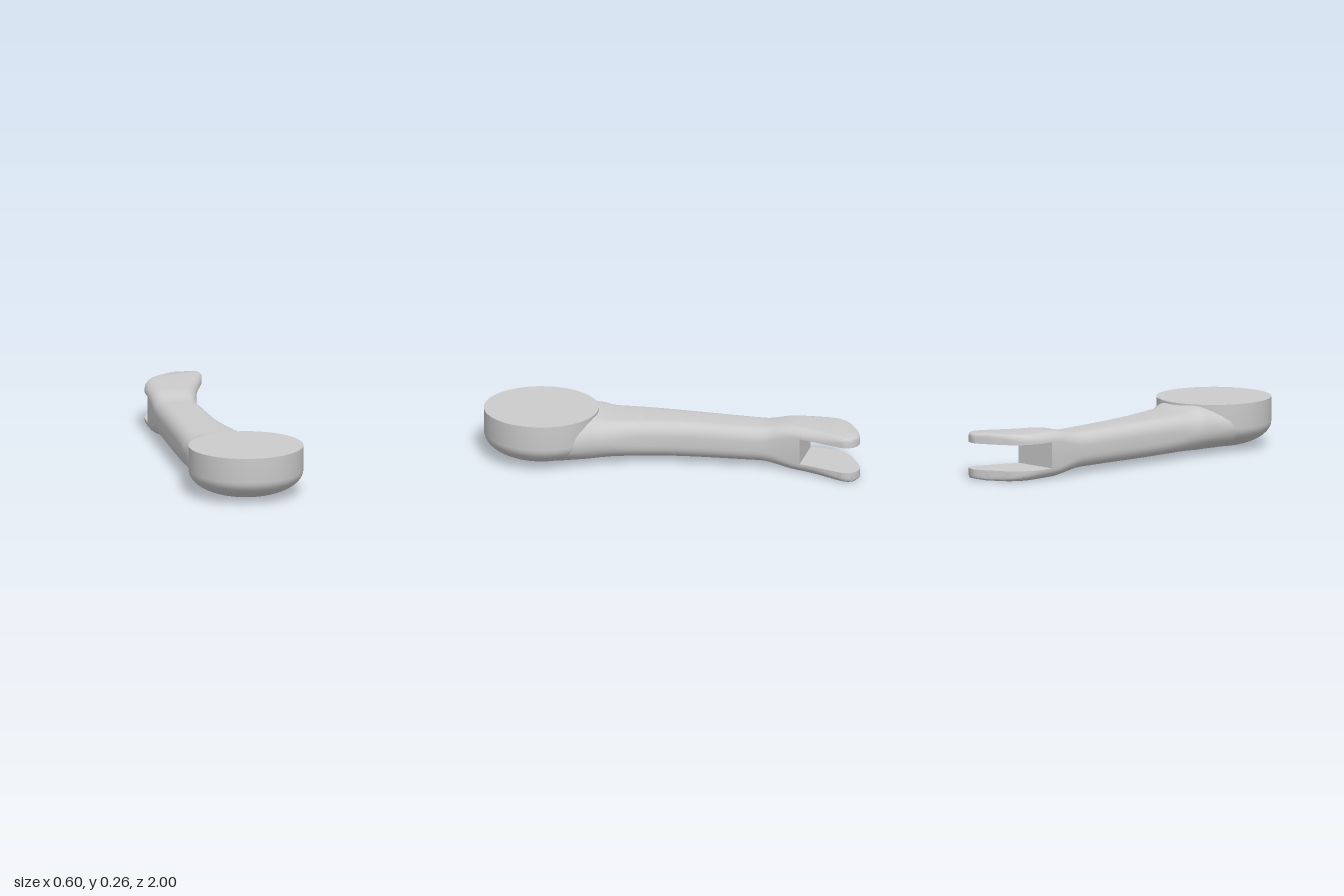
import * as THREE from 'three';
import { toCreasedNormals } from 'three/addons/utils/BufferGeometryUtils.js';

const material = new THREE.MeshStandardMaterial({ color: 0xcccccc });

// Smooth curve through [z, value] keys, z descending
function curve(keys) {
  const slope = (i) => {
    const a = keys[Math.max(i - 1, 0)], b = keys[Math.min(i + 1, keys.length - 1)];
    return (b[1] - a[1]) / (b[0] - a[0]);
  };
  return (z) => {
    let i = 0;
    while (i < keys.length - 2 && z < keys[i + 1][0]) i++;
    const [z0, v0] = keys[i], [z1, v1] = keys[i + 1];
    const h = z1 - z0, t = (z - z0) / h, u = 1 - t;
    return v0 * (1 + 2 * t) * u * u + slope(i) * h * t * u * u
      + v1 * t * t * (3 - 2 * t) - slope(i + 1) * h * t * t * u;
  };
}

// Plan outline, side profile and corner radii along the lever
const left = curve([[0.72, -0.285], [0.6, -0.28], [0.45, -0.267], [0.3, -0.26], [0, -0.26], [-0.6, -0.26],
  [-0.765, -0.258], [-0.84, -0.24], [-0.9, -0.195], [-0.945, -0.127], [-0.985, -0.055], [-1, -0.015]]);
const right = curve([[0.72, 0.285], [0.6, 0.262], [0.48, 0.205], [0.31, 0.11], [0.135, 0.048], [-0.05, 0.01],
  [-0.37, -0.016], [-0.53, -0.026], [-0.7, 0.005], [-0.89, 0.065], [-0.94, 0.075], [-0.975, 0.06], [-0.99, 0.04], [-1, 0.015]]);
const top = curve([[0.72, 0.252], [0.48, 0.252], [0.42, 0.25], [0.36, 0.234], [0.28, 0.228], [0, 0.224],
  [-0.43, 0.217], [-0.48, 0.219], [-0.58, 0.239], [-0.64, 0.244], [-0.97, 0.245], [-1, 0.235]]);
const bottom = curve([[0.72, 0.008], [0.6, 0.008], [0.45, 0.018], [0.28, 0.031], [0, 0.031],
  [-0.43, 0.031], [-0.48, 0.028], [-0.58, 0.01], [-0.64, 0.003], [-0.97, 0.001], [-1, 0.011]]);
const cornerX = curve([[0.72, 0.25], [0.55, 0.2], [0.4, 0.12], [0.25, 0.075], [0, 0.065],
  [-0.6, 0.06], [-0.76, 0.055], [-0.9, 0.03], [-1, 0.012]]);
const cornerY = curve([[0.72, 0.12], [0.4, 0.1], [0.2, 0.075], [0, 0.07],
  [-0.5, 0.065], [-0.66, 0.05], [-0.76, 0.048], [-0.9, 0.03], [-1, 0.014]]);

// Rounded cross-section, counter-clockwise seen from +z
function section(z, y0, y1, roundBottom, roundTop) {
  const x0 = left(z), x1 = right(z);
  const rx = Math.min(cornerX(z), (x1 - x0) * 0.46);
  const ry = Math.min(cornerY(z), (y1 - y0) * 0.98);
  const points = [];
  const corner = (x, y, sx, sy, start, rounded) => {
    if (!rounded) { points.push([x, y, z]); return; }
    for (let k = 0; k <= 6; k++) {
      const a = start + k * Math.PI / 12;
      points.push([x - sx * rx + rx * Math.cos(a), y - sy * ry + ry * Math.sin(a), z]);
    }
  };
  corner(x0, y0, -1, -1, Math.PI, roundBottom);
  corner(x1, y0, 1, -1, Math.PI * 1.5, roundBottom);
  corner(x1, y1, 1, 1, 0, roundTop);
  corner(x0, y1, -1, 1, Math.PI / 2, roundTop);
  return points;
}

// Skin a row of sections running towards -z, and close the far end
function loft(name, rings) {
  const n = rings[0].length, index = [];
  for (let i = 0; i < rings.length - 1; i++) {
    for (let j = 0; j < n; j++) {
      const a = i * n + j, b = i * n + (j + 1) % n;
      index.push(a, a + n, b, b, a + n, b + n);
    }
  }
  const last = (rings.length - 1) * n;
  for (let j = 1; j < n - 1; j++) index.push(last, last + j + 1, last + j);
  const geometry = new THREE.BufferGeometry();
  geometry.setAttribute('position', new THREE.Float32BufferAttribute(rings.flat(2), 3));
  geometry.setIndex(index);
  const mesh = new THREE.Mesh(toCreasedNormals(geometry, 0.7), material);
  mesh.name = name;
  return mesh;
}

export function createModel() {
  const group = new THREE.Group();
  group.name = 'forkedLever';

  // Round head with a flat top and a domed underside
  const profile = [];
  profile.push(new THREE.Vector2(0, 0.005));
  for (let i = 0; i <= 14; i++) {
    const a = i / 14 * Math.PI / 2;
    profile.push(new THREE.Vector2(0.05 + 0.25 * Math.sin(a), 0.13 - 0.125 * Math.cos(a)));
  }
  profile.push(new THREE.Vector2(0.3, 0.258), new THREE.Vector2(0, 0.258));
  const head = new THREE.Mesh(toCreasedNormals(new THREE.LatheGeometry(profile, 64), 0.7), material);
  head.name = 'head';
  head.position.z = 0.7;
  group.add(head);

  // Arm from inside the head to the floor of the slot
  const slot = -0.68;
  const armRings = [];
  for (let i = 0; i <= 80; i++) {
    const z = 0.72 + (slot - 0.72) * i / 80;
    armRings.push(section(z, bottom(z), top(z), true, true));
  }
  group.add(loft('arm', armRings));

  // Two fork prongs, rounded on their outer faces
  const upperRings = [], lowerRings = [];
  for (let i = 0; i <= 36; i++) {
    const z = slot + (-1 - slot) * Math.sin(i / 36 * Math.PI / 2);
    upperRings.push(section(z, 0.193, top(z), false, true));
    lowerRings.push(section(z, bottom(z), 0.055, true, false));
  }
  group.add(loft('upperProng', upperRings), loft('lowerProng', lowerRings));

  return group;
}
